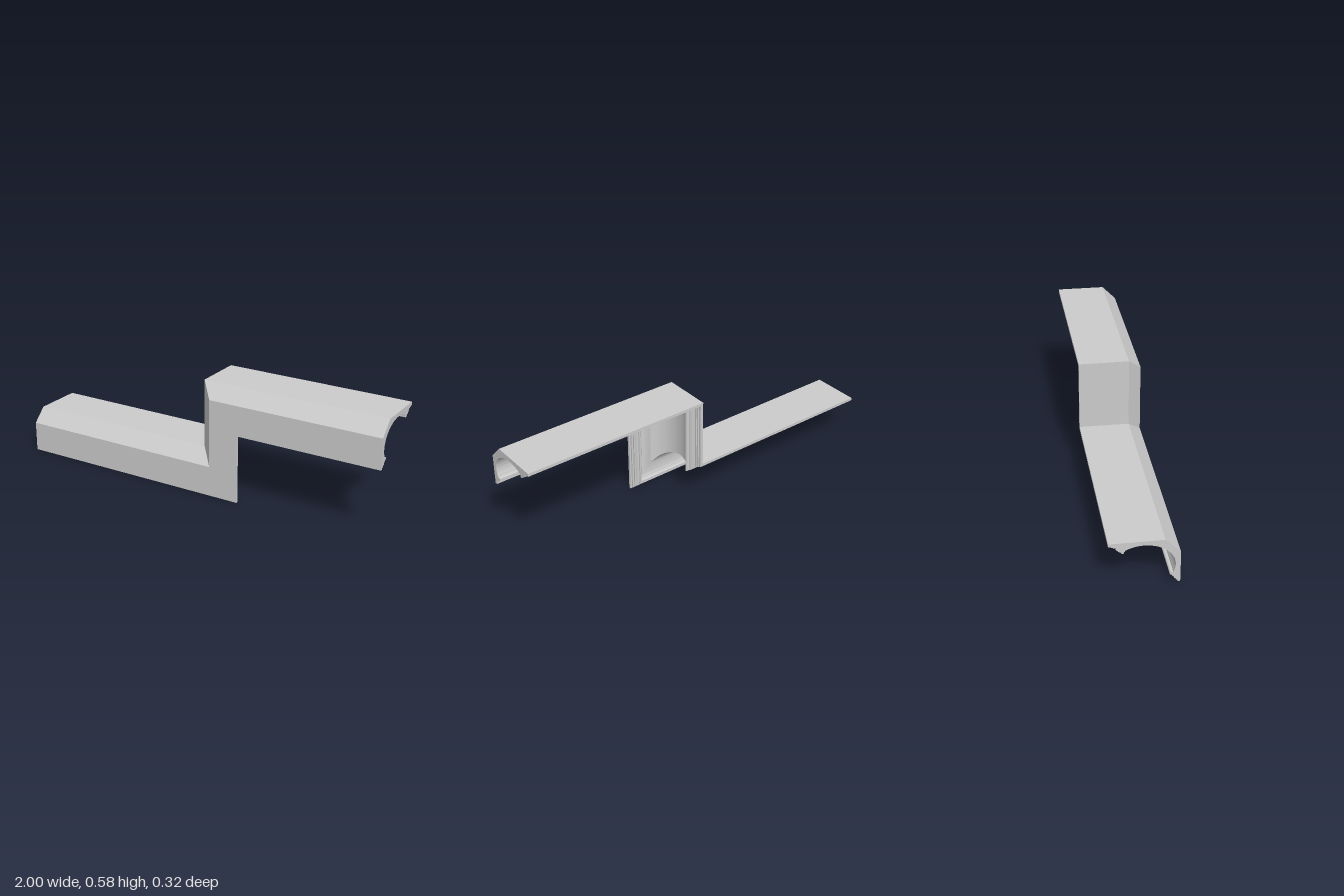
import * as THREE from 'three';
import { toCreasedNormals } from 'three/addons/utils/BufferGeometryUtils.js';

const TOP = 0.577;   // top of the upper run
const RISE = 0.352;  // height between the two runs
const BEND = 0.03;   // x of the riser's outer face

// Moulding cross-section as [z, y] on the upper run
const outer = [[-0.16, 0.562], [-0.16, TOP], [0.09, TOP], [0.16, 0.507], [0.16, 0.352]];
const frontSteps = [
  [0.148, 0.352], [0.148, 0.361], [0.14, 0.361], [0.14, 0.37], [0.132, 0.37],
  [0.132, 0.378], [0.127, 0.38], [0.123, 0.384], [0.12, 0.389], [0.113, 0.39],
  [0.113, 0.399], [0.117, 0.403], [0.128, 0.404],
];
const backSteps = [
  [-0.086, 0.532], [-0.09, 0.532], [-0.09, 0.523], [-0.095, 0.521], [-0.1, 0.522],
  [-0.104, 0.526], [-0.107, 0.531], [-0.117, 0.534], [-0.118, 0.539], [-0.122, 0.541],
  [-0.127, 0.546], [-0.128, 0.553], [-0.137, 0.553], [-0.137, 0.557], [-0.147, 0.557], [-0.147, 0.562],
];

function profile() {
  const s = new THREE.Shape();
  const lines = (pts) => pts.forEach(([z, y]) => s.lineTo(-z, y));
  s.moveTo(-outer[0][0], outer[0][1]);
  lines(outer.slice(1));
  lines(frontSteps);
  s.absellipse(0.005, 0.445, 0.143, 0.111, Math.PI + 0.376, 0.977, true); // cove
  lines(backSteps);
  return s;
}

export function createModel() {
  const group = new THREE.Group();
  group.name = 'steppedMoulding';

  // Three straight steps, then each station is moved onto the mitred path
  const geo = new THREE.ExtrudeGeometry(profile(), {
    depth: 3, steps: 3, bevelEnabled: false, curveSegments: 20,
  });
  const p = geo.attributes.position;
  for (let i = 0; i < p.count; i++) {
    const station = Math.round(p.getZ(i));
    const y = p.getY(i);
    const riserX = BEND + TOP - y;
    const x = [-1, riserX, riserX, 1][station];
    p.setXYZ(i, x, station < 2 ? y - RISE : y, -p.getX(i));
  }

  const mesh = new THREE.Mesh(
    toCreasedNormals(geo, 0.45),
    new THREE.MeshStandardMaterial({ color: 0xcccccc }),
  );
  mesh.name = 'mitredMoulding';
  group.add(mesh);
  return group;
}
